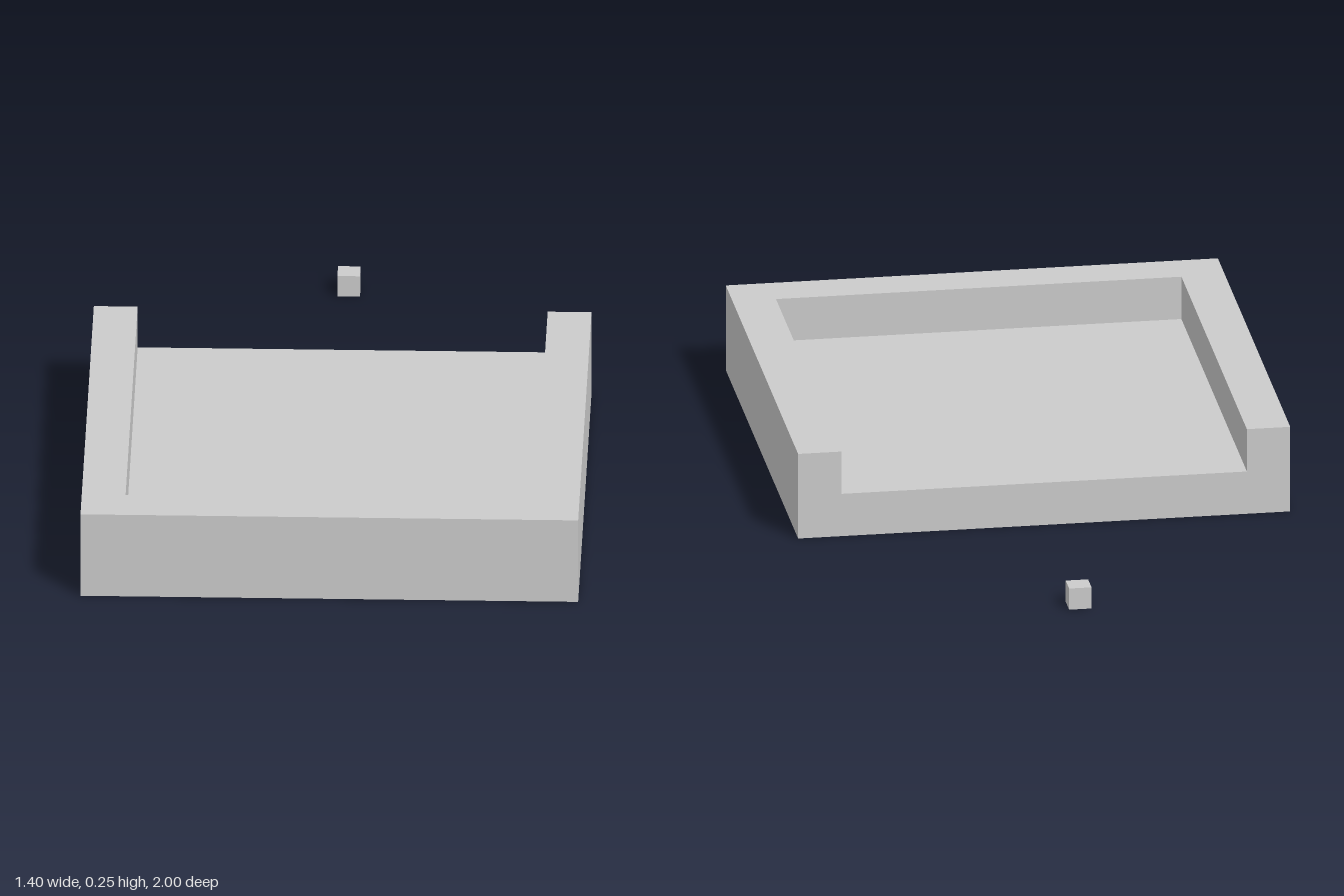
import * as THREE from 'three';

const HALF_W = 0.698, INNER_W = 0.575;       // outer and inner half widths
const FRONT = 1, INNER_FRONT = 0.873, BACK = -0.334;
const HEIGHT = 0.254, FLOOR = 0.127, CUBE = 0.0635;

export function createModel() {
  const group = new THREE.Group();
  const material = new THREE.MeshStandardMaterial({ color: 0xcccccc, flatShading: true });
  const add = (name, geometry, x = 0, y = 0, z = 0) => {
    const mesh = new THREE.Mesh(geometry, material);
    mesh.name = name;
    mesh.position.set(x, y, z);
    group.add(mesh);
  };

  // Floor slab of the tray
  add('trayFloor', new THREE.BoxGeometry(2 * HALF_W, FLOOR, FRONT - BACK),
    0, FLOOR / 2, (FRONT + BACK) / 2);

  // U-shaped rim, open at the back; plan drawn as (x, -z) and extruded upward
  const plan = [
    [-HALF_W, FRONT], [HALF_W, FRONT], [HALF_W, BACK], [INNER_W, BACK],
    [INNER_W, INNER_FRONT], [-INNER_W, INNER_FRONT], [-INNER_W, BACK], [-HALF_W, BACK],
  ].map(([x, z]) => new THREE.Vector2(x, -z));
  const rim = new THREE.ExtrudeGeometry(new THREE.Shape(plan),
    { depth: HEIGHT - FLOOR, bevelEnabled: false });
  rim.rotateX(-Math.PI / 2);
  add('trayRim', rim, 0, FLOOR, 0);

  // Small loose cube behind the opening
  add('smallCube', new THREE.BoxGeometry(CUBE, CUBE, CUBE), 0, CUBE / 2, -1 + CUBE / 2);

  return group;
}
